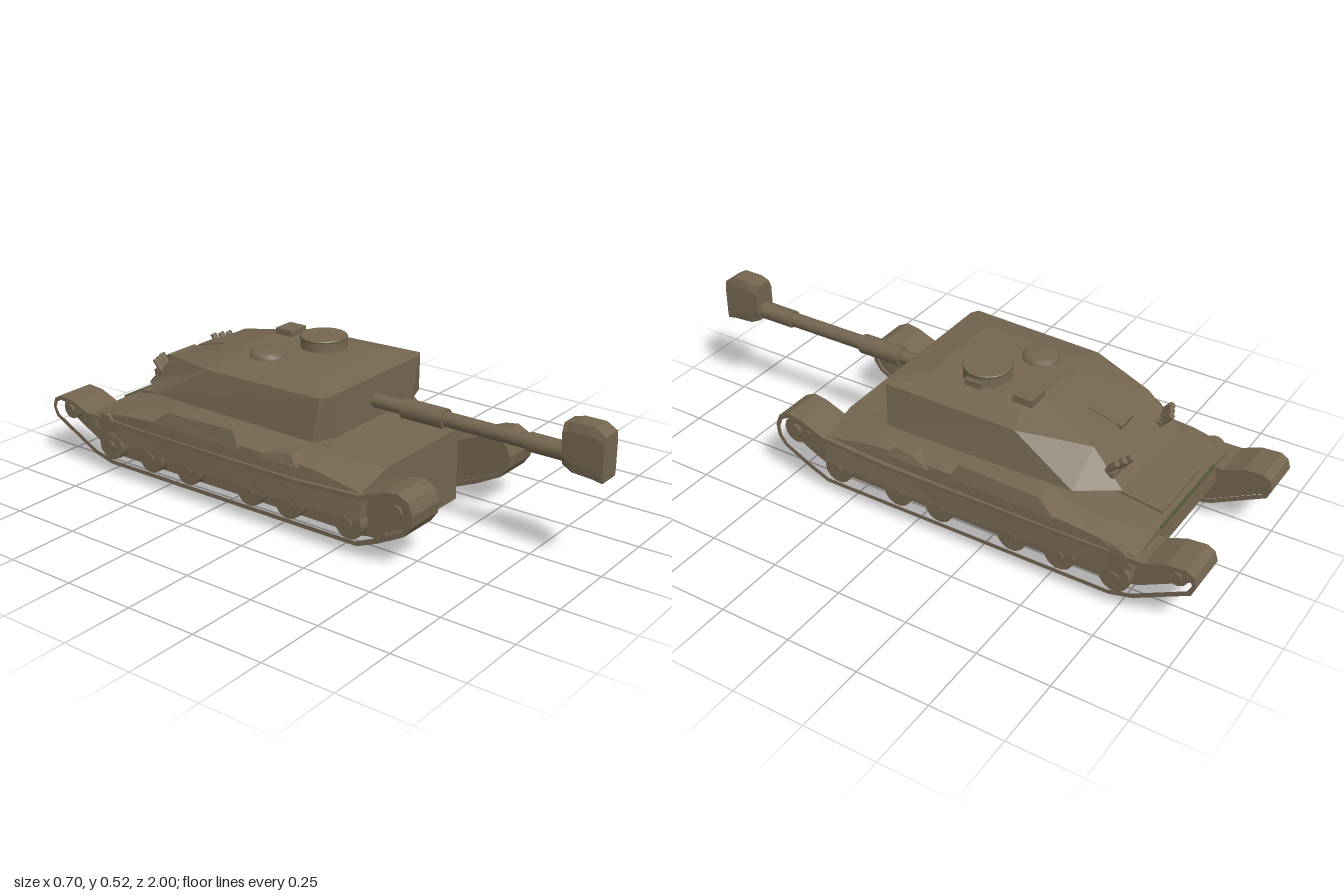
import * as THREE from 'three';

const paint = new THREE.MeshStandardMaterial({ color: 0x74654f });
paint.name = 'earth brown paint';
const olive = new THREE.MeshStandardMaterial({ color: 0x56593a });
olive.name = 'olive rim';

function add(parent, name, geo, x = 0, y = 0, z = 0, mat = paint) {
  const m = new THREE.Mesh(geo, mat);
  m.name = name;
  m.position.set(x, y, z);
  parent.add(m);
  return m;
}

// Closed faceted solid through rings of equal point count, faces turned outward.
function loft(rings) {
  const tris = [], n = rings[0].length;
  for (let i = 0; i < rings.length - 1; i++) {
    for (let j = 0; j < n; j++) {
      const k = (j + 1) % n, a = rings[i], b = rings[i + 1];
      tris.push([a[j], a[k], b[k]], [a[j], b[k], b[j]]);
    }
  }
  const end = rings[rings.length - 1];
  for (let j = 1; j < n - 1; j++) {
    tris.push([rings[0][0], rings[0][j + 1], rings[0][j]], [end[0], end[j], end[j + 1]]);
  }
  let volume = 0;
  for (const t of tris) {
    const [a, b, c] = t.map(p => new THREE.Vector3(...p));
    volume += a.dot(b.cross(c));
  }
  if (volume < 0) tris.forEach(t => t.reverse());
  const g = new THREE.BufferGeometry();
  g.setAttribute('position', new THREE.Float32BufferAttribute(tris.flat(2), 3));
  g.computeVertexNormals();
  return g;
}

// Completes a ring from its +x half.
const mirrorRing = half => [...half, ...half.slice().reverse().map(([x, y, z]) => [-x, y, z])];

// Extrudes a side profile given as [z, y] across x0..x1.
function sideExtrude(points, x0, x1, hole) {
  const shape = new THREE.Shape(points.map(([z, y]) => new THREE.Vector2(-z, y)));
  if (hole) shape.holes.push(new THREE.Path(hole.map(([z, y]) => new THREE.Vector2(-z, y))));
  const g = new THREE.ExtrudeGeometry(shape, { depth: x1 - x0, bevelEnabled: false });
  return g.rotateY(Math.PI / 2).translate(x0, 0, 0);
}

const alongX = (r, len, seg = 14) => new THREE.CylinderGeometry(r, r, len, seg).rotateZ(Math.PI / 2);
const alongZ = (r0, r1, len, seg = 10) => new THREE.CylinderGeometry(r1, r0, len, seg).rotateX(Math.PI / 2);

function buildHull() {
  const hull = new THREE.Group();
  hull.name = 'hull';
  add(hull, 'lowerHull', sideExtrude([[0.345, 0], [0.345, 0.255], [0.1, 0.272], [-0.42, 0.272],
    [-0.8, 0.222], [-0.81, 0.15], [-0.72, 0.04], [-0.68, 0]], -0.205, 0.205));

  // Sloping deck and side skirts: z, deck half width, deck y, shoulder x, shoulder y, skirt bottom y
  const stations = [
    [0.345, 0.205, 0.254, 0.335, 0.215, 0.125], [0.15, 0.255, 0.268, 0.33, 0.245, 0.115],
    [-0.1, 0.275, 0.275, 0.335, 0.25, 0.11], [-0.42, 0.265, 0.275, 0.34, 0.25, 0.115],
    [-0.66, 0.26, 0.242, 0.34, 0.23, 0.13], [-0.8, 0.22, 0.222, 0.335, 0.205, 0.16]];
  add(hull, 'deckAndSkirts', loft(stations.map(([z, a, ya, b, yb, yc]) =>
    mirrorRing([[a, ya, z], [b, yb, z], [0.348, yc, z]]))));

  add(hull, 'driverHatch', loft([
    mirrorRing([[0.06, 0.25, 0.13], [0.06, 0.25, 0.0]]),
    mirrorRing([[0.035, 0.288, 0.09], [0.035, 0.288, 0.02]])]));
  add(hull, 'turretRing', new THREE.CylinderGeometry(0.14, 0.16, 0.05, 20), 0, 0.278, -0.22);
  add(hull, 'engineCover', new THREE.BoxGeometry(0.26, 0.012, 0.16), 0, 0.238, -0.7).rotation.x = -0.13;
  add(hull, 'rearPlateEdge', new THREE.BoxGeometry(0.38, 0.008, 0.008), 0, 0.222, -0.803, olive);
  return hull;
}

function buildTrack() {
  const track = new THREE.Group();
  const outer = [[0.34, 0.042], [0.42, 0.075], [0.515, 0.125], [0.54, 0.16], [0.545, 0.2], [0.53, 0.24],
    [0.49, 0.26], [0.44, 0.252], [0.35, 0.215], [0.1, 0.2], [-0.6, 0.2], [-0.83, 0.205],
    [-0.9, 0.232], [-0.965, 0.237], [-0.99, 0.222], [-1, 0.19], [-0.985, 0.155], [-0.8, 0.06], [-0.72, 0.04]];
  const inner = [[0.335, 0.057], [0.41, 0.09], [0.503, 0.136], [0.524, 0.165], [0.529, 0.198], [0.516, 0.23],
    [0.488, 0.244], [0.446, 0.237], [0.353, 0.2], [0.1, 0.185], [-0.6, 0.185], [-0.832, 0.19],
    [-0.903, 0.217], [-0.96, 0.222], [-0.978, 0.212], [-0.985, 0.19], [-0.972, 0.166], [-0.795, 0.075], [-0.715, 0.055]];
  add(track, 'trackBand', sideExtrude(outer, 0.205, 0.351, inner));
  add(track, 'trackCore', sideExtrude(inner, 0.207, 0.305));
  // Road wheels with hubs
  for (const z of [0.3, 0.06, -0.1, -0.37, -0.54, -0.73]) {
    add(track, 'roadWheel', alongX(0.052, 0.04), 0.322, 0.103, z);
    add(track, 'wheelHub', alongX(0.02, 0.012, 8), 0.343, 0.103, z);
  }
  // End wheels: front idler and rear sprocket
  for (const [z, r] of [[0.475, 0.048], [-0.928, 0.036]]) {
    add(track, 'endWheel', alongX(r, 0.03), 0.317, 0.19, z);
    add(track, 'endWheelHub', alongX(r * 0.5, 0.014, 8), 0.336, 0.19, z);
  }
  // Stowage bins on the fender
  for (const [z0, z1, top] of [[0.1, 0.0, 0.275], [-0.14, -0.46, 0.297]]) {
    add(track, 'stowageBin', loft([
      [[0.25, 0.24, z0], [0.346, 0.24, z0], [0.346, 0.24, z1 - 0.06], [0.25, 0.24, z1 - 0.06]],
      [[0.268, top, z0 - 0.03], [0.335, top, z0 - 0.03], [0.335, top - 0.01, z1], [0.268, top - 0.01, z1]]]));
  }
  add(track, 'exhaustDrum', alongX(0.035, 0.03), 0.335, 0.185, -0.74);
  return track;
}

function buildTurret() {
  const turret = new THREE.Group();
  turret.name = 'turret';
  // Shell by height: underside, waist, shoulder, roof
  add(turret, 'turretShell', loft([
    [[0.2, 0.29, 0.1], [0.21, 0.29, 0.03], [0.21, 0.295, -0.42], [0.15, 0.3, -0.55]],
    [[0.21, 0.312, 0.155], [0.295, 0.315, 0.125], [0.292, 0.322, -0.55], [0.195, 0.312, -0.67]],
    [[0.25, 0.458, 0.155], [0.276, 0.458, 0.14], [0.268, 0.448, -0.33], [0.185, 0.425, -0.56]],
    [[0.17, 0.48, 0.04], [0.175, 0.48, 0], [0.15, 0.48, -0.3], [0.1, 0.478, -0.34]],
  ].map(mirrorRing)));

  // Left cupola with rim plate, and the right hatch
  add(turret, 'cupola', new THREE.CylinderGeometry(0.078, 0.08, 0.05, 18), 0.083, 0.49, -0.12);
  add(turret, 'cupolaRim', new THREE.CylinderGeometry(0.081, 0.081, 0.005, 18), 0.083, 0.514, -0.12, olive);
  add(turret, 'cupolaLid', new THREE.CylinderGeometry(0.078, 0.08, 0.003, 18), 0.083, 0.518, -0.12);
  add(turret, 'sight', new THREE.BoxGeometry(0.08, 0.025, 0.07), 0.13, 0.487, -0.3);
  add(turret, 'sightBlock', new THREE.BoxGeometry(0.03, 0.03, 0.06), 0.157, 0.485, -0.12);
  add(turret, 'hatch', new THREE.LatheGeometry([[0.062, 0], [0.062, 0.015], [0.05, 0.025], [0, 0.026]]
    .map(p => new THREE.Vector2(...p)), 18), -0.1, 0.475, -0.21);
  add(turret, 'rearVent', new THREE.BoxGeometry(0.08, 0.02, 0.12), 0, 0.428, -0.52).rotation.x = -0.25;

  // Launcher tubes at the rear corners
  for (const s of [-1, 1]) {
    for (let i = 0; i < 3; i++) {
      const tube = add(turret, 'launcherTube', new THREE.CylinderGeometry(0.012, 0.012, 0.07, 7),
        s * (0.135 + i * 0.027), 0.37, -0.645 + i * 0.012);
      tube.rotation.x = -0.7;
    }
    add(turret, 'launcherBracket', new THREE.BoxGeometry(0.08, 0.02, 0.06), s * 0.16, 0.355, -0.61);
  }
  return turret;
}

function buildGun() {
  const gun = new THREE.Group();
  gun.name = 'gun';
  const y = 0.374;
  // Barrel sections: start z, end z, radius
  for (const [name, z0, z1, r] of [['barrelRoot', 0.1, 0.28, 0.024], ['barrelSleeve', 0.27, 0.43, 0.034],
    ['barrel', 0.42, 0.74, 0.025], ['barrelCollar', 0.73, 0.88, 0.031]]) {
    add(gun, name, alongZ(r, r, z1 - z0), 0, y, (z0 + z1) / 2);
  }
  // Tall faceted muzzle block
  add(gun, 'muzzleBlock', loft([
    [[0.03, 0.345, 0.86], [0.041, 0.38, 0.86], [0.041, 0.45, 0.86], [0.03, 0.478, 0.86]],
    [[0.038, 0.33, 0.895], [0.042, 0.36, 0.895], [0.042, 0.46, 0.895], [0.034, 0.487, 0.895]],
    [[0.038, 0.325, 0.965], [0.042, 0.35, 0.965], [0.042, 0.46, 0.965], [0.034, 0.487, 0.965]],
    [[0.04, 0.32, 1], [0.042, 0.34, 1], [0.042, 0.44, 1], [0.037, 0.465, 1]],
  ].map(mirrorRing)));
  return gun;
}

export function createModel() {
  const tank = new THREE.Group();
  tank.name = 'tank';
  const left = buildTrack(), right = buildTrack();
  left.name = 'leftTrack';
  right.name = 'rightTrack';
  right.scale.x = -1;
  tank.add(buildHull(), left, right, buildTurret(), buildGun());
  return tank;
}
